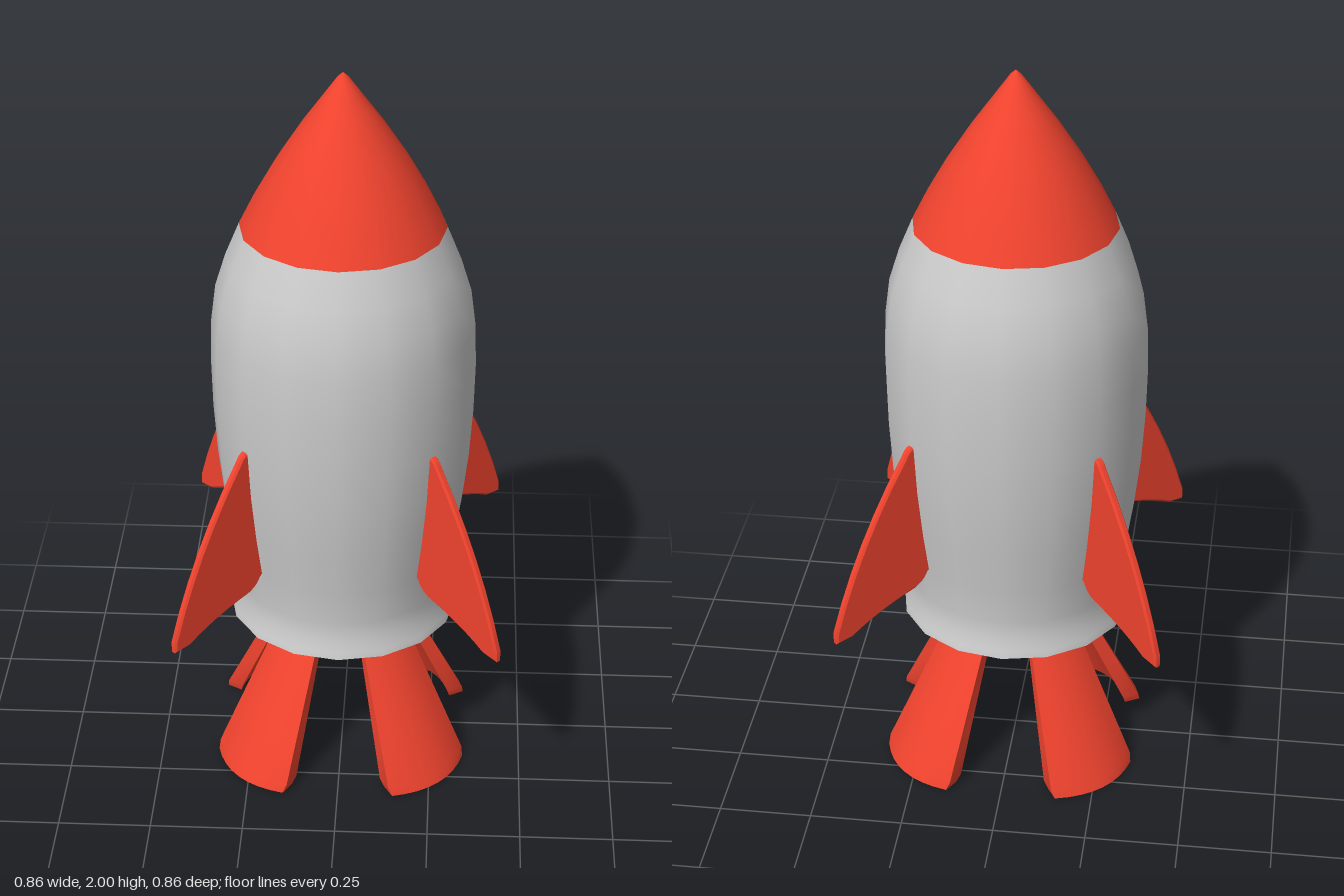
import * as THREE from 'three';
import { toCreasedNormals } from 'three/addons/utils/BufferGeometryUtils.js';

const red = new THREE.MeshStandardMaterial({ color: 0xf0432e });
const grey = new THREE.MeshStandardMaterial({ color: 0xcccccc });

function lathe(name, profile, material) {
  const points = profile.map(([r, y]) => new THREE.Vector2(r, y));
  const mesh = new THREE.Mesh(new THREE.LatheGeometry(points, 16), material);
  mesh.name = name;
  return mesh;
}

// Curved plate that leans outwards and widens towards the foot
function legGeometry() {
  const geo = new THREE.BoxGeometry(2, 4, 2, 8, 4, 1);
  const heights = [0.005, 0.03, 0.16, 0.29, 0.43];
  const pos = geo.attributes.position;
  for (let i = 0; i < pos.count; i++) {
    const s = pos.getX(i);
    const row = Math.round(pos.getY(i) + 2);
    const side = pos.getZ(i);
    const y = heights[row];
    const u = 1 - y / 0.43;
    const soften = row === 0 ? 0.93 : 1;
    const halfWidth = (0.067 + 0.073 * u) * soften;
    const halfThick = (0.014 + 0.01 * u) * soften;
    const radius = 0.15 + 0.222 * u - (0.015 + 0.028 * u) * s * s;
    pos.setXYZ(i, s * (halfWidth + side * 0.006), y, radius + side * halfThick);
  }
  return toCreasedNormals(geo, 0.8);
}

// Swept fin outline in radius and height, given a small bevel
function finGeometry() {
  const shape = new THREE.Shape();
  shape.moveTo(0.28, 0.66);
  shape.lineTo(0.31, 0.645);
  shape.quadraticCurveTo(0.32, 0.62, 0.35, 0.61);
  shape.quadraticCurveTo(0.47, 0.585, 0.555, 0.54);
  shape.lineTo(0.598, 0.536);
  shape.lineTo(0.598, 0.56);
  shape.quadraticCurveTo(0.52, 0.8, 0.365, 1.015);
  shape.quadraticCurveTo(0.352, 1.04, 0.335, 1.035);
  shape.lineTo(0.28, 0.98);
  shape.closePath();
  const geo = new THREE.ExtrudeGeometry(shape, {
    depth: 0.012, bevelEnabled: true, bevelThickness: 0.005,
    bevelSize: 0.006, bevelSegments: 1, curveSegments: 6,
  });
  geo.translate(0, 0, -0.006);
  return toCreasedNormals(geo, 0.6);
}

export function createModel() {
  const rocket = new THREE.Group();
  rocket.name = 'rocket';

  // Hull, nose and underside
  rocket.add(
    lathe('hull', [
      [0.312, 0.437], [0.308, 0.455], [0.296, 0.49], [0.294, 0.54], [0.304, 0.64],
      [0.322, 0.76], [0.338, 0.9], [0.347, 1.04], [0.35, 1.18], [0.346, 1.3],
      [0.333, 1.4], [0.305, 1.49], [0.268, 1.58],
    ], grey),
    lathe('noseCone', [
      [0.268, 1.58], [0.226, 1.665], [0.175, 1.755], [0.11, 1.855],
      [0.05, 1.938], [0.014, 1.988], [0, 2],
    ], red),
    lathe('hullRim', [[0.27, 0.437], [0.312, 0.437]], grey),
    lathe('hullUnderside', [[0.13, 0.408], [0.16, 0.422], [0.2, 0.445], [0.27, 0.437]], grey),
    lathe('engineBase', [[0, 0.408], [0.13, 0.408]], grey),
  );

  // Four fins and four legs on the diagonals
  const leg = legGeometry();
  const fin = finGeometry();
  for (let i = 0; i < 4; i++) {
    const angle = Math.PI / 4 + (i * Math.PI) / 2;
    const legMesh = new THREE.Mesh(leg, red);
    legMesh.name = 'leg' + (i + 1);
    legMesh.rotation.y = angle;
    const finMesh = new THREE.Mesh(fin, red);
    finMesh.name = 'fin' + (i + 1);
    finMesh.rotation.y = angle;
    rocket.add(legMesh, finMesh);
  }
  return rocket;
}
